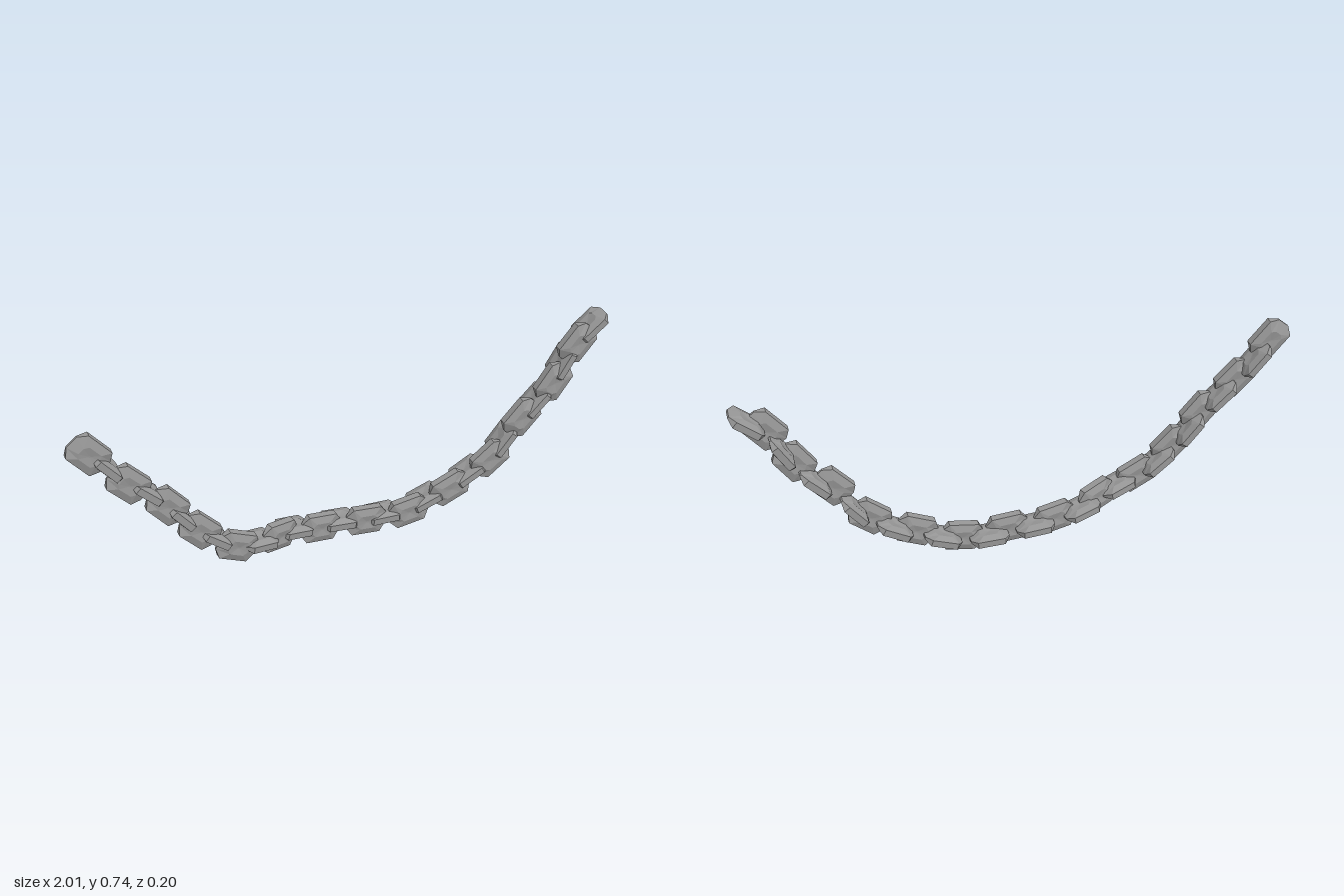
import * as THREE from 'three';

// Centres along the chain: x, y, z. Even entries lie flat to the front, odd ones stand edge-on.
const PATH = [
  [-0.93, 0.65, 0.068], [-0.875, 0.585, 0.05], [-0.81, 0.505, 0.068], [-0.75, 0.455, 0.05],
  [-0.685, 0.385, 0.068], [-0.64, 0.325, 0.05], [-0.58, 0.255, 0.068], [-0.525, 0.205, 0.05],
  [-0.45, 0.15, 0.062], [-0.365, 0.13, 0.037], [-0.28, 0.115, 0.012], [-0.21, 0.1, -0.028],
  [-0.11, 0.08, -0.025], [-0.03, 0.075, -0.048], [0.067, 0.067, -0.025], [0.14, 0.062, -0.048],
  [0.235, 0.064, -0.025], [0.31, 0.09, -0.048], [0.4, 0.126, -0.025], [0.48, 0.165, -0.048],
  [0.56, 0.217, -0.025], [0.615, 0.275, -0.048], [0.68, 0.37, -0.025], [0.74, 0.415, -0.048],
  [0.8, 0.495, -0.025], [0.84, 0.56, -0.048], [0.885, 0.64, -0.025], [0.945, 0.69, -0.048],
];

// Chunky faceted link: long in x, wide in y, thin in z, with wedge-shaped ends
function linkGeometry(length, width, thick) {
  const a = length / 2, b = width / 2, t = thick / 2;
  const outline = [
    [a, -b * 0.45], [a, b * 0.45], [a * 0.7, b], [-a * 0.7, b],
    [-a, b * 0.45], [-a, -b * 0.45], [-a * 0.7, -b], [a * 0.7, -b],
  ];
  // rings from back to front: outline scale, depth
  const rings = [[0.05, -0.8], [0.5, -1], [1, -0.6], [1, 0.6], [0.5, 1], [0.05, 0.8]];
  const pos = [], index = [], n = outline.length;
  rings.forEach(([s, d]) => {
    outline.forEach(([x, y]) => {
      const taper = s === 1 && Math.abs(x) === a ? 0.3 : 1;
      pos.push(x * s, y * s, d * t * taper);
    });
  });
  for (let r = 0; r < rings.length - 1; r++) {
    for (let i = 0; i < n; i++) {
      const j = (i + 1) % n, p = r * n, q = p + n;
      index.push(p + i, p + j, q + j, p + i, q + j, q + i);
    }
  }
  // close the tiny centre caps
  const top = (rings.length - 1) * n;
  for (let i = 1; i < n - 1; i++) index.push(0, i + 1, i, top, top + i, top + i + 1);
  const g = new THREE.BufferGeometry();
  g.setAttribute('position', new THREE.Float32BufferAttribute(pos, 3));
  g.setIndex(index);
  const flat = g.toNonIndexed();
  flat.computeVertexNormals();
  return flat;
}

export function createModel() {
  const chain = new THREE.Group();
  chain.name = 'chain';
  const material = new THREE.MeshStandardMaterial({ color: 0x969696, flatShading: true });
  const flatLink = linkGeometry(0.154, 0.108, 0.046);
  const edgeLink = linkGeometry(0.142, 0.104, 0.042);
  const points = PATH.map((p) => new THREE.Vector3(...p));
  const front = new THREE.Vector3(0, 0, 1);

  points.forEach((p, i) => {
    const edgeOn = i % 2 === 1;
    // each link points from its previous neighbour to its next one
    const from = points[Math.max(i - 1, 0)], to = points[Math.min(i + 1, points.length - 1)];
    const along = to.clone().sub(from);
    if (i === 0 || i === points.length - 1) along.z = 0;
    along.normalize();
    const up = front.clone().cross(along).normalize();
    const out = along.clone().cross(up);
    const basis = edgeOn
      ? new THREE.Matrix4().makeBasis(along, out, up.clone().negate())
      : new THREE.Matrix4().makeBasis(along, up, out);
    const link = new THREE.Mesh(edgeOn ? edgeLink : flatLink, material);
    link.name = edgeOn ? 'edgeLink' : 'flatLink';
    link.quaternion.setFromRotationMatrix(basis);
    link.position.copy(p);
    chain.add(link);
  });
  return chain;
}
